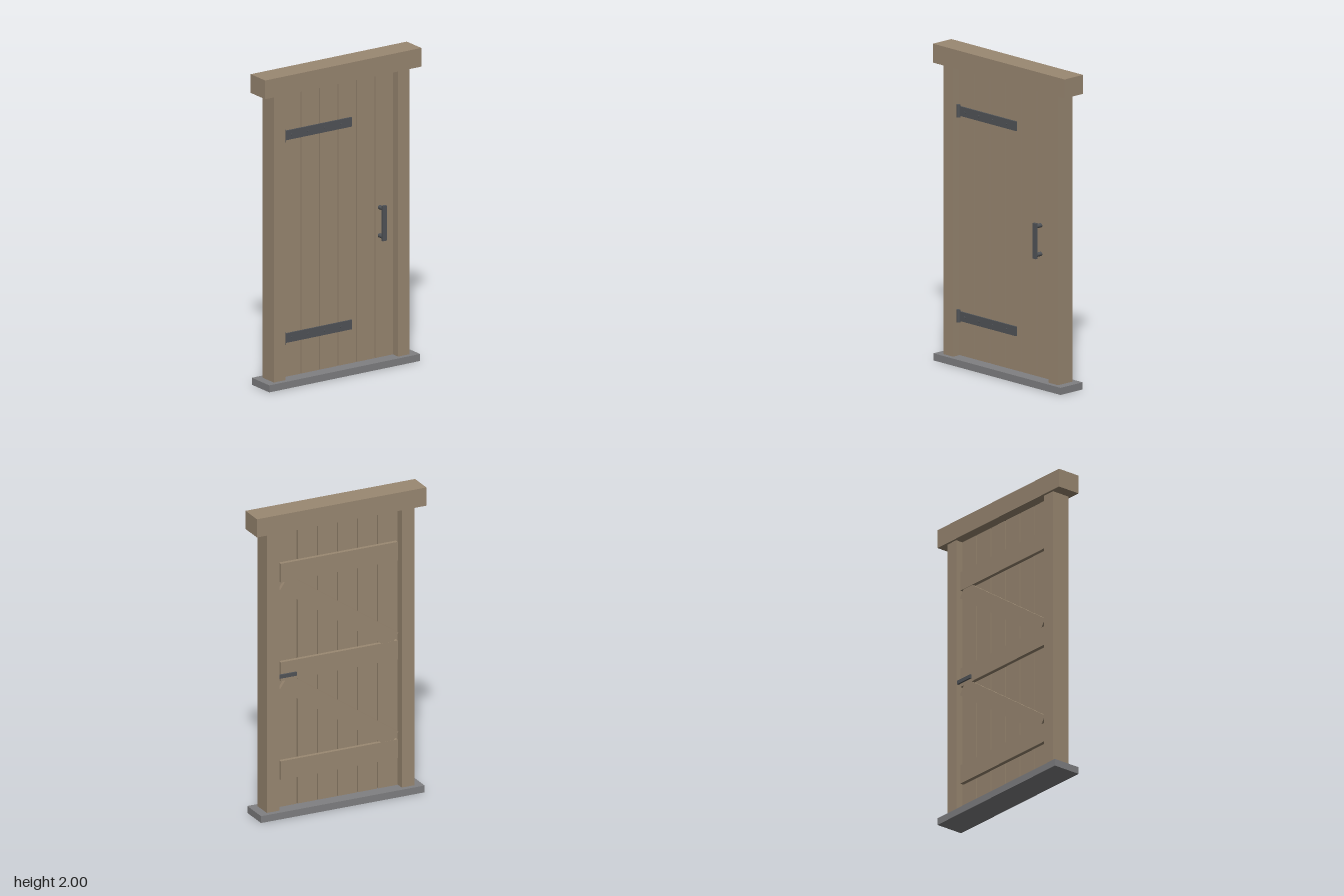
import * as THREE from 'three';

export function createModel() {
  const door = new THREE.Group();
  door.name = 'plankDoor';

  const material = (name, color) => {
    const m = new THREE.MeshStandardMaterial({ color });
    m.name = name;
    return m;
  };
  const wood = material('weatheredWood', 0x9a8872);
  const stone = material('stone', 0x808082);
  const iron = material('darkIron', 0x515458);

  const add = (name, geometry, mat, x, y, z) => {
    const mesh = new THREE.Mesh(geometry, mat);
    mesh.name = name;
    mesh.position.set(x, y, z);
    door.add(mesh);
    return mesh;
  };
  // Box given by its extents on each axis
  const box = (name, mat, [x0, x1], [y0, y1], [z0, z1]) =>
    add(name, new THREE.BoxGeometry(x1 - x0, y1 - y0, z1 - z0), mat,
      (x0 + x1) / 2, (y0 + y1) / 2, (z0 + z1) / 2);

  // Frame: sill, posts and lintel
  box('sill', stone, [-0.56, 0.56], [0, 0.045], [-0.094, 0.094]);
  box('lintel', wood, [-0.58, 0.58], [1.88, 2], [-0.078, 0.078]);
  box('rightPost', wood, [-0.505, -0.419], [0.04, 1.885], [-0.062, 0.062]);
  box('leftPost', wood, [0.419, 0.505], [0.04, 1.885], [-0.062, 0.062]);

  // Six upright planks with narrow gaps
  const pitch = 0.1377, plankWidth = 0.1305;
  for (let i = 0; i < 6; i++) {
    const x = (i - 2.5) * pitch;
    box('plank' + (i + 1), wood, [x - plankWidth / 2, x + plankWidth / 2], [0.05, 1.875], [-0.02, 0.02]);
  }

  // Rails across the back
  for (const y of [0.298, 0.95, 1.6]) {
    box('backRail', wood, [-0.4, 0.4], [y - 0.062, y + 0.062], [-0.045, -0.02]);
  }

  // Diagonal braces between the rails
  for (const y of [0.622, 1.275]) {
    const brace = add('backBrace', new THREE.BoxGeometry(0.91, 0.107, 0.024), wood, 0, y, -0.032);
    brace.rotation.z = Math.atan(0.685);
  }

  // Strap hinges with knuckles and rivets
  for (const y of [0.3, 1.6]) {
    box('hingeStrap', iron, [-0.405, 0.1], [y - 0.03, y + 0.03], [0.02, 0.03]);
    add('hingeKnuckle', new THREE.CylinderGeometry(0.0135, 0.0135, 0.08, 12), iron, -0.406, y, 0.028);
    for (const x of [-0.35, -0.227, -0.105, 0.018]) {
      const rivet = add('hingeRivet', new THREE.CylinderGeometry(0.007, 0.007, 0.006, 8), iron, x, y, 0.032);
      rivet.rotation.x = Math.PI / 2;
    }
  }

  // Pull handle on two studs
  box('handleGrip', iron, [0.296, 0.324], [0.81, 1.035], [0.06, 0.077]);
  for (const y of [0.832, 1.013]) {
    const stud = add('handleStud', new THREE.CylinderGeometry(0.0135, 0.0135, 0.044, 12), iron, 0.31, y, 0.04);
    stud.rotation.x = Math.PI / 2;
  }

  // Latch bar on the back, reaching the post
  box('latchBar', iron, [0.295, 0.43], [0.91, 0.934], [-0.056, -0.043]);

  return door;
}
